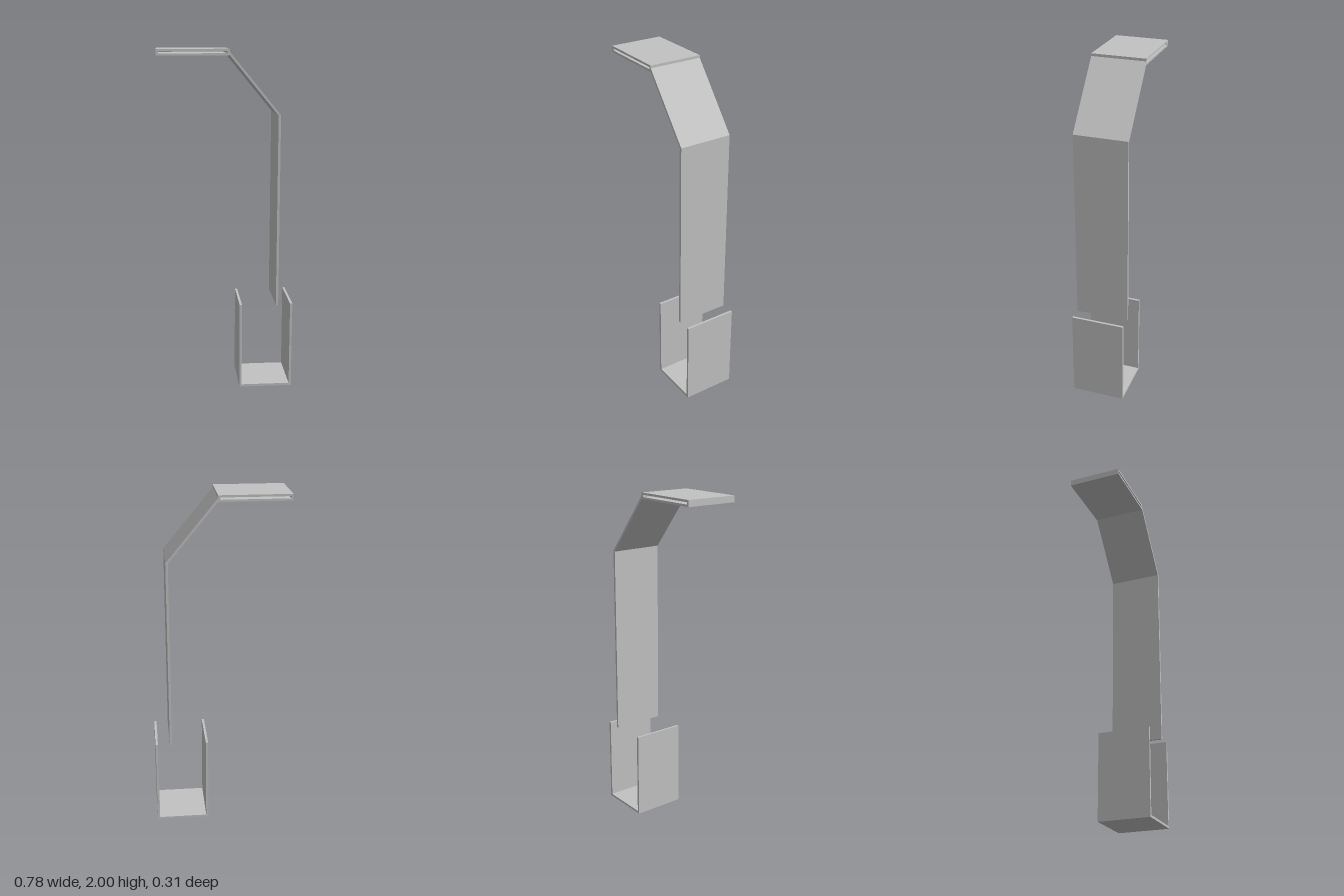
import * as THREE from 'three';

const DEPTH = 0.314;

// Extrude a side profile through the width of the strip
function strip(name, points, material, hole) {
  const toVectors = (list) => list.map(([x, y]) => new THREE.Vector2(x, y));
  const shape = new THREE.Shape(toVectors(points));
  if (hole) shape.holes.push(new THREE.Path(toVectors(hole)));
  const geometry = new THREE.ExtrudeGeometry(shape, { depth: DEPTH, bevelEnabled: false });
  geometry.translate(0, 0, -DEPTH / 2);
  const mesh = new THREE.Mesh(geometry, material);
  mesh.name = name;
  return mesh;
}

export function createModel() {
  const group = new THREE.Group();
  group.name = 'foldedStripHook';
  const metal = new THREE.MeshStandardMaterial({ color: 0xc2c2c2 });
  metal.name = 'light grey metal';

  // Flat folded loop at the top
  group.add(strip('topLoop',
    [[-0.39, 1.964], [0.014, 1.964], [0.016, 1.985], [0.016, 2], [-0.39, 2]],
    metal,
    [[-0.378, 1.976], [-0.378, 1.988], [0.002, 1.988], [0.002, 1.976]]));

  // Sloping arm running into the upright
  group.add(strip('slopedArmAndUpright',
    [[0.016, 1.985], [0.014, 1.967], [0.291, 1.632], [0.291, 0.514], [0.305, 0.514], [0.305, 1.635]],
    metal));

  // Open U channel at the bottom
  group.add(strip('lowerChannel',
    [[0.076, 0], [0.39, 0], [0.39, 0.52], [0.376, 0.52], [0.376, 0.014],
      [0.09, 0.014], [0.09, 0.52], [0.076, 0.52]],
    metal));

  return group;
}
